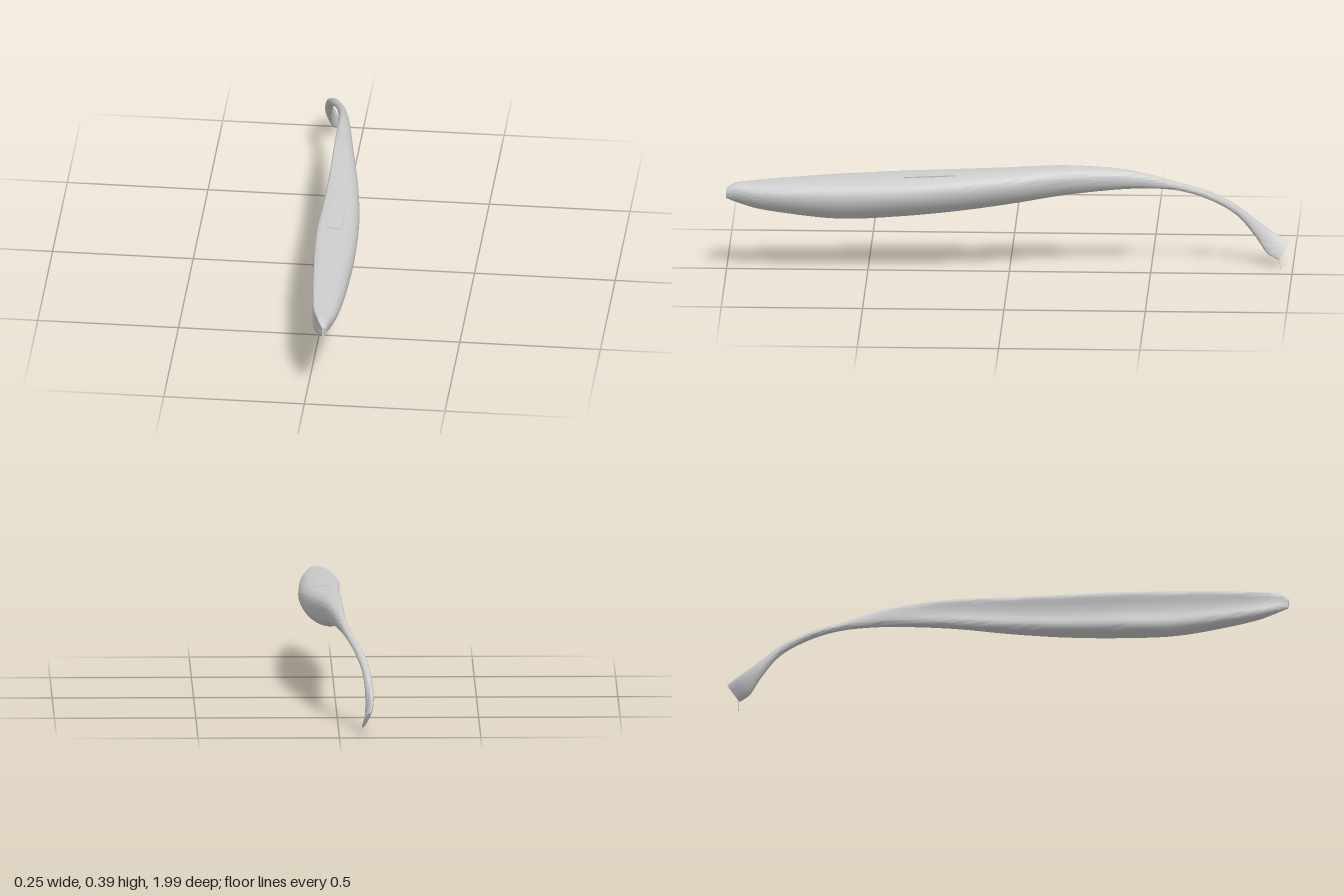
import * as THREE from 'three';
import { toCreasedNormals } from 'three/addons/utils/BufferGeometryUtils.js';

const RINGS = 96, SIDES = 40;

// Extents along the pod, tip to stalk: [z, xMin, xMax, yMin, yMax, z of the lower edge]
const stations = [
  [1.0, 0.062, 0.076, 0.28, 0.315], [0.97, 0.045, 0.082, 0.265, 0.33],
  [0.9, 0.022, 0.097, 0.24, 0.335], [0.8, 0.008, 0.11, 0.222, 0.342],
  [0.6, -0.01, 0.12, 0.2, 0.354], [0.4, -0.022, 0.122, 0.208, 0.363],
  [0.2, -0.018, 0.112, 0.228, 0.373], [0, -0.016, 0.086, 0.255, 0.382],
  [-0.2, -0.02, 0.05, 0.286, 0.39], [-0.4, -0.029, 0.016, 0.305, 0.378],
  [-0.5, -0.036, -0.004, 0.306, 0.356], [-0.6, -0.055, -0.028, 0.293, 0.322],
  [-0.7, -0.086, -0.056, 0.255, 0.285], [-0.8, -0.112, -0.084, 0.19, 0.227],
  [-0.88, -0.122, -0.094, 0.105, 0.16, -0.87], [-0.94, -0.116, -0.094, 0.05, 0.118, -0.91],
  [-0.99, -0.102, -0.087, 0.03, 0.088, -0.95],
];

// Unit cross-sections, clockwise from the top left: flat-topped body and oval stalk
const bodyShape = [
  [0, 0.93], [0.04, 0.99], [0.12, 1], [0.45, 0.98], [0.78, 0.91], [0.95, 0.78], [1, 0.6], [0.94, 0.4],
  [0.78, 0.2], [0.55, 0.05], [0.3, 0], [0.08, 0.05], [0, 0.2], [0.06, 0.45], [0.05, 0.7],
];
const ovalShape = bodyShape.map((_, i) => {
  const a = 2.3 - (i / bodyShape.length) * Math.PI * 2;
  return [0.5 + 0.5 * Math.cos(a), 0.5 + 0.5 * Math.sin(a)];
});
const smoothLoop = (pts) =>
  new THREE.CatmullRomCurve3(pts.map(([u, v]) => new THREE.Vector3(u, v, 0)), true).getPoints(SIDES).slice(0, SIDES);

function podGeometry() {
  const lower = new THREE.CatmullRomCurve3(stations.map((s) => new THREE.Vector3(s[1], s[3], s[5] ?? s[0])));
  const upper = new THREE.CatmullRomCurve3(stations.map((s) => new THREE.Vector3(s[2], s[4], s[0])));
  const body = smoothLoop(bodyShape), oval = smoothLoop(ovalShape);
  const pos = [], index = [];
  for (let i = 0; i <= RINGS; i++) {
    const lo = lower.getPoint(i / RINGS), hi = upper.getPoint(i / RINGS);
    const toStalk = THREE.MathUtils.smoothstep(-hi.z, 0.15, 0.6);
    const lean = 0.025 * THREE.MathUtils.smoothstep(-hi.z, 0.82, 0.97);
    for (let j = 0; j < SIDES; j++) {
      const p = body[j].clone().lerp(oval[j], toStalk);
      pos.push(
        THREE.MathUtils.lerp(lo.x, hi.x, p.x) + lean * (0.5 - p.y),
        THREE.MathUtils.lerp(lo.y, hi.y, p.y),
        THREE.MathUtils.lerp(lo.z, hi.z, p.y),
      );
    }
  }
  for (let i = 0; i < RINGS; i++) {
    for (let j = 0; j < SIDES; j++) {
      const k = (j + 1) % SIDES;
      const a = i * SIDES + j, b = i * SIDES + k, c = a + SIDES, d = b + SIDES;
      index.push(a, b, c, b, d, c);
    }
  }
  // Close both ends with fans around the mean point
  for (const ring of [0, RINGS]) {
    const centre = pos.length / 3, mean = [0, 0, 0];
    for (let j = 0; j < SIDES; j++) for (let n = 0; n < 3; n++) mean[n] += pos[(ring * SIDES + j) * 3 + n] / SIDES;
    pos.push(...mean);
    for (let j = 0; j < SIDES; j++) {
      const a = ring * SIDES + j, b = ring * SIDES + ((j + 1) % SIDES);
      if (ring === 0) index.push(centre, b, a);
      else index.push(centre, a, b);
    }
  }
  const g = new THREE.BufferGeometry();
  g.setAttribute('position', new THREE.Float32BufferAttribute(pos, 3));
  g.setIndex(index);
  return toCreasedNormals(g, 0.7);
}

export function createModel() {
  const group = new THREE.Group();
  group.name = 'seedPod';
  const material = new THREE.MeshStandardMaterial({ color: 0xcccccc });
  const add = (name, geometry) => {
    const mesh = new THREE.Mesh(geometry, material);
    mesh.name = name;
    group.add(mesh);
    return mesh;
  };

  // Pod body running into its curved stalk
  add('podAndStalk', podGeometry());

  // Shallow rectangular patch on the flat top
  const patch = add('topPatch', new THREE.BoxGeometry(0.05, 0.006, 0.18));
  patch.position.set(0.04, 0.366, 0.28);
  patch.rotation.set(0.05, 0, -0.1);

  // Fine torn fibre below the stalk end
  const fibre = new THREE.CatmullRomCurve3([
    new THREE.Vector3(-0.084, 0.034, -0.953),
    new THREE.Vector3(-0.076, 0.018, -0.955),
    new THREE.Vector3(-0.068, 0.002, -0.957),
  ]);
  add('stalkFibre', new THREE.TubeGeometry(fibre, 6, 0.001, 5));

  return group;
}
